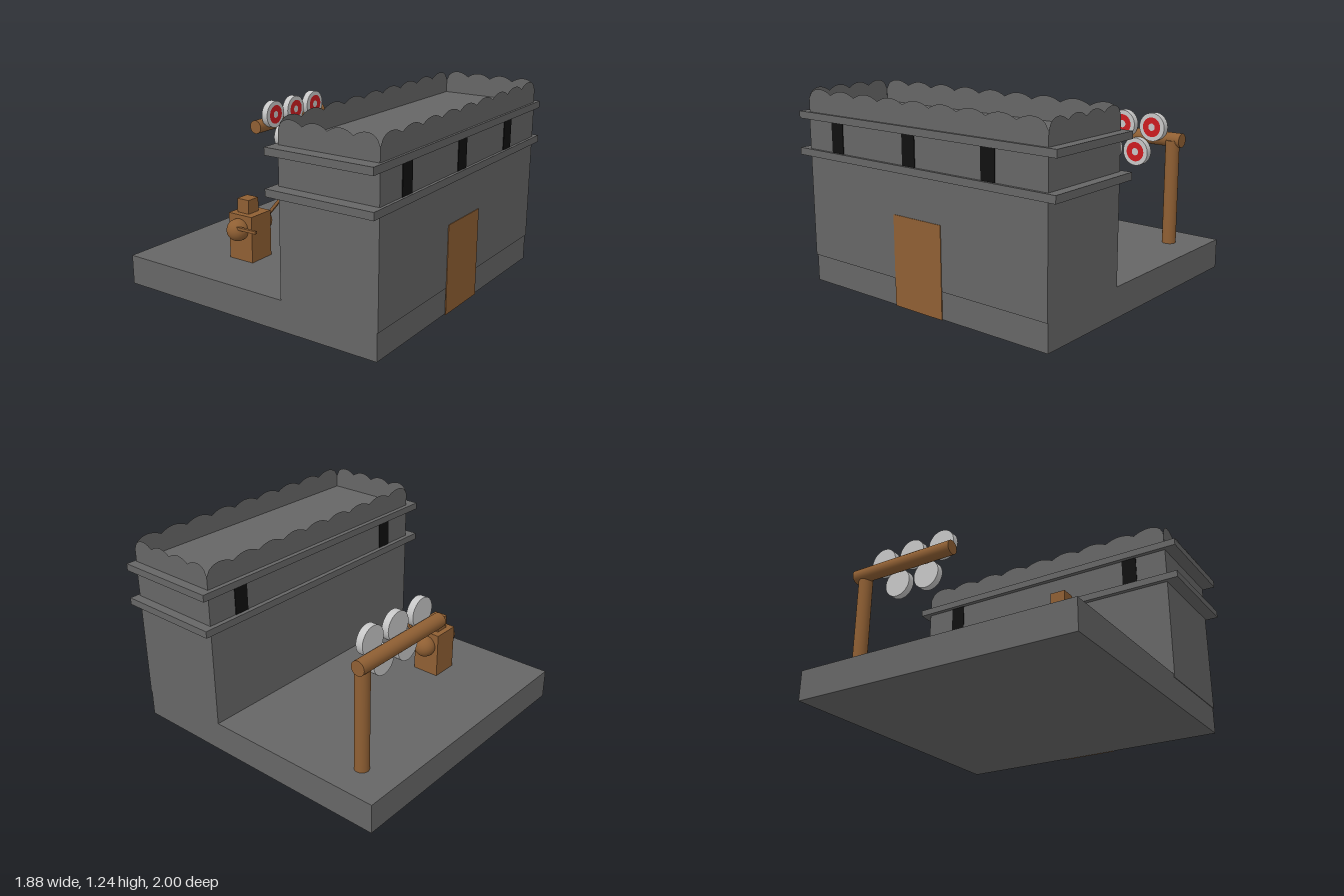
import * as THREE from 'three';

export function createModel() {
  const root = new THREE.Group();
  const mat = (name, color, side = THREE.FrontSide) => {
    const m = new THREE.MeshStandardMaterial({ color, side });
    m.name = name;
    return m;
  };
  const stone = mat('stone grey', 0x666666, THREE.DoubleSide);
  const wood = mat('wood brown', 0x8f5f33);
  const pale = mat('pale grey', 0xc6c6c6);
  const red = mat('target red', 0xcc1c20);
  const black = mat('window black', 0x101010);

  const add = (name, geo, material, x = 0, y = 0, z = 0, parent = root) => {
    const m = new THREE.Mesh(geo, material);
    m.name = name;
    m.position.set(x, y, z);
    parent.add(m);
    return m;
  };
  // Box given by its minimum and maximum on each axis
  const box = (name, material, x0, x1, y0, y1, z0, z1, parent = root) =>
    add(name, new THREE.BoxGeometry(x1 - x0, y1 - y0, z1 - z0), material,
      (x0 + x1) / 2, (y0 + y1) / 2, (z0 + z1) / 2, parent);

  // Ground slab and building
  box('baseSlab', stone, -0.94, 0.91, 0, 0.19, -0.94, 0.915);
  box('buildingBody', stone, 0.27, 0.917, 0.17, 1.07, -0.94, 0.919);
  box('lowerLedge', stone, 0.24, 0.935, 0.815, 0.86, -1, 1);
  box('roofLedge', stone, 0.24, 0.93, 1.045, 1.09, -1, 1);

  // Scalloped parapet: a row of shallow arcs, with lower outer corners
  const scallops = (width, count) => {
    const shape = new THREE.Shape();
    const step = width / count, n = 10;
    shape.moveTo(-width / 2, 0);
    for (let i = 0; i < count; i++) {
      for (let j = 0; j <= n; j++) {
        const t = (j / n) * 2 - 1;
        const outer = (i === 0 && t < 0) || (i === count - 1 && t > 0);
        const drop = outer ? 0.075 * (1 - Math.sqrt(1 - 0.98 * t * t)) : 0.029 * t * t;
        shape.lineTo(-width / 2 + (i + (t + 1) / 2) * step, 0.147 - drop);
      }
    }
    shape.lineTo(width / 2, 0);
    return new THREE.ShapeGeometry(shape);
  };
  const longSide = scallops(1.855, 9), shortSide = scallops(0.645, 4);
  for (const [name, x, turn] of [['parapetLeft', 0.915, 1], ['parapetRight', 0.27, -1]])
    add(name, longSide, stone, x, 1.09, -0.011).rotation.y = turn * Math.PI / 2;
  for (const [name, z, turn] of [['parapetFront', 0.917, 0], ['parapetBack', -0.938, Math.PI]])
    add(name, shortSide, stone, 0.5925, 1.09, z).rotation.y = turn;

  // Door and windows as thin plates
  box('door', wood, 0.915, 0.921, 0, 0.56, -0.19, 0.185);
  for (const z of [0.657, 0.05, -0.543])
    box('outerWindow', black, 0.915, 0.921, 0.86, 1.045, z - 0.05, z + 0.05);
  for (const z of [0.665, -0.69])
    box('courtyardWindow', black, 0.266, 0.272, 0.86, 1.045, z - 0.05, z + 0.05);

  // Post and beam carrying the round targets
  const rack = new THREE.Group();
  rack.name = 'targetRack';
  root.add(rack);
  add('post', new THREE.CylinderGeometry(0.045, 0.045, 0.685, 32), wood, -0.69, 0.5325, -0.72, rack);
  add('beam', new THREE.CylinderGeometry(0.046, 0.046, 0.74, 32), wood, -0.705, 0.875, -0.41, rack)
    .rotation.x = Math.PI / 2;

  const discGeo = new THREE.CylinderGeometry(0.092, 0.092, 0.046, 32).rotateZ(Math.PI / 2);
  const ringGeo = new THREE.RingGeometry(0.024, 0.064, 32).rotateY(Math.PI / 2);
  const target = (x, y, z) => {
    const g = new THREE.Group();
    g.name = 'target';
    g.position.set(x, y, z);
    add('targetDisc', discGeo, pale, 0, 0, 0, g);
    add('targetRing', ringGeo, red, 0.026, 0, 0, g);
    rack.add(g);
  };
  for (const z of [-0.603, -0.38, -0.155]) target(-0.643, 0.955, z);
  for (const z of [-0.49, -0.27]) target(-0.633, 0.782, z);

  // Wooden training dummy
  const dummy = new THREE.Group();
  dummy.name = 'trainingDummy';
  root.add(dummy);
  box('dummyBody', wood, -0.412, -0.23, 0.19, 0.487, 0.392, 0.575, dummy);
  box('dummyHead', wood, -0.375, -0.285, 0.487, 0.576, 0.442, 0.535, dummy);
  const ball = new THREE.SphereGeometry(0.07, 32, 20);
  for (const z of [0.37, 0.595]) add('shoulder', ball, wood, -0.325, 0.395, z, dummy);
  box('leftArm', wood, -0.3, -0.145, 0.415, 0.433, 0.626, 0.644, dummy);
  add('raisedArm', new THREE.BoxGeometry(0.165, 0.018, 0.018), wood, -0.235, 0.5, 0.34, dummy)
    .rotation.z = 0.86;

  return root;
}
